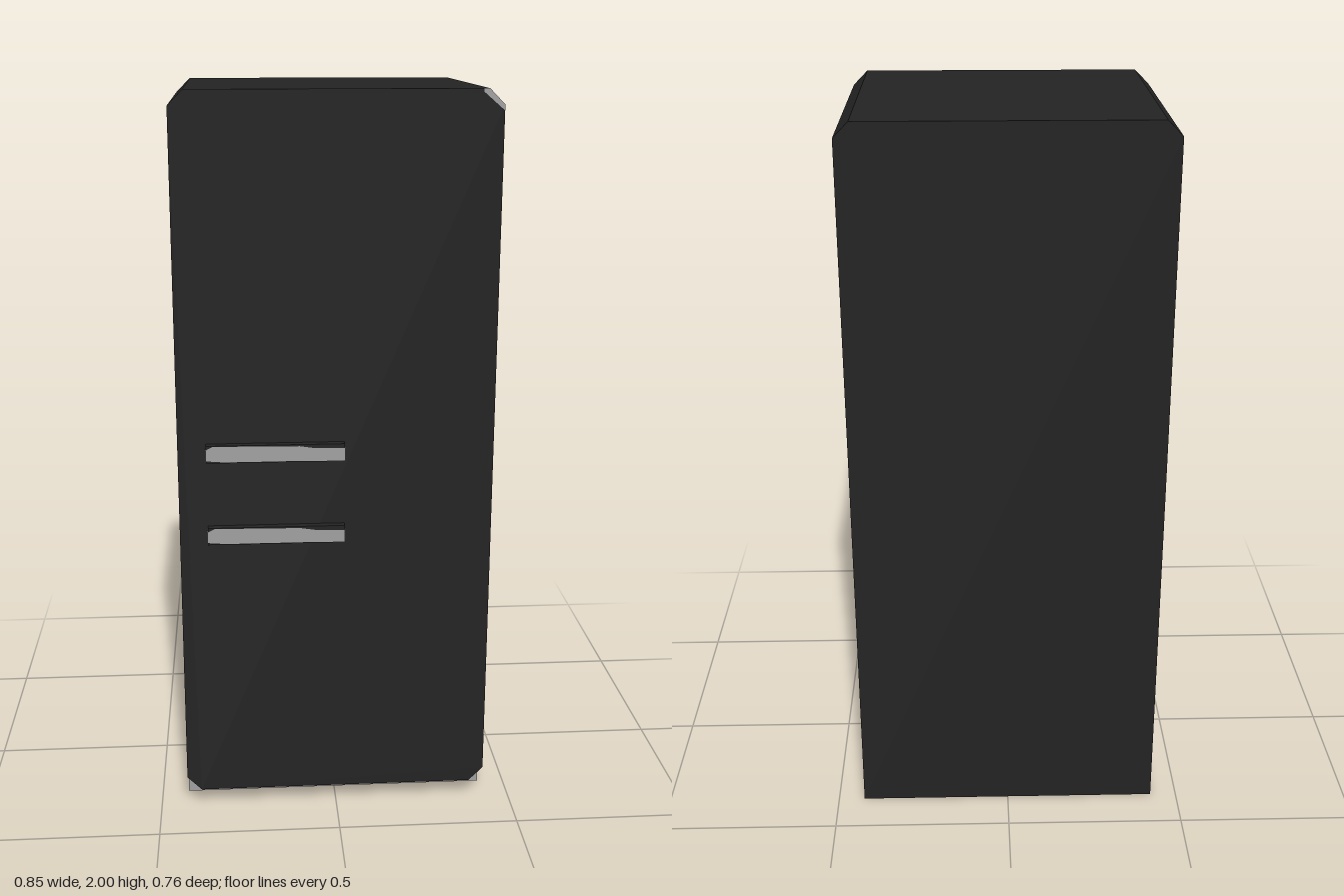
import * as THREE from 'three';

const W = 0.425, H = 2, C = 0.04;                // half width, height, corner bevel
const FRONT = 0.355, BACK = -0.378, KICK = 0.275; // depths of door, back and plinth
const LIP = 0.05;                                // lower edge of the door

export function createModel() {
  const model = new THREE.Group();
  model.name = 'refrigerator';

  const dark = new THREE.MeshStandardMaterial({ color: 0x232323, side: THREE.DoubleSide });
  dark.name = 'black enamel';
  const grey = new THREE.MeshStandardMaterial({ color: 0xa0a0a0, side: THREE.DoubleSide });
  grey.name = 'grey metal';

  function add(name, geometry, material, parent = model) {
    const mesh = new THREE.Mesh(geometry, material);
    mesh.name = name;
    parent.add(mesh);
    return mesh;
  }

  // Flat sheet: a fan of triangles around the first point
  function panel(name, points, material = dark) {
    const positions = [];
    for (let i = 1; i < points.length - 1; i++) {
      positions.push(...points[0], ...points[i], ...points[i + 1]);
    }
    const geometry = new THREE.BufferGeometry();
    geometry.setAttribute('position', new THREE.Float32BufferAttribute(positions, 3));
    geometry.computeVertexNormals();
    return add(name, geometry, material);
  }

  // Sheet stretched in depth from z0 to z1 along the edge a-b
  const strip = (name, a, b, z0, z1) =>
    panel(name, [[...a, z1], [...b, z1], [...b, z0], [...a, z0]]);

  // Door face with four bevelled corners
  panel('doorFront', [
    [-W + C, LIP], [W - C, LIP], [W, LIP + C], [W, H - C],
    [W - C, H], [-W + C, H], [-W, H - C], [-W, LIP + C],
  ].map(([x, y]) => [x, y, FRONT]));

  // Back sheet, square at the floor
  panel('backPanel', [
    [W, 0], [-W, 0], [-W, H - C], [-W + C, H], [W - C, H], [W, H - C],
  ].map(([x, y]) => [x, y, BACK]));

  // Top and the underside of the door; the cabinet floor is open
  strip('topPanel', [-W + C, H], [W - C, H], BACK, FRONT);
  strip('doorUnderside', [W - C, LIP], [-W + C, LIP], KICK, FRONT);

  // Notched side walls with their bevels
  for (const s of [1, -1]) {
    const side = s > 0 ? 'left' : 'right';
    const wall = [
      [LIP + C, KICK], [0, KICK], [0, BACK], [H - C, BACK], [H - C, FRONT], [LIP + C, FRONT],
    ].map(([y, z]) => [s * W, y, z]);
    const edge = (name, a, b) => s > 0
      ? strip(side + name, a, b, BACK, FRONT)
      : strip(side + name, b, a, BACK, FRONT);
    panel(side + 'Wall', s > 0 ? wall : [wall[0], ...wall.slice(1).reverse()]);
    edge('TopBevel', [s * (W - C), H], [s * W, H - C]);
    const low = [[s * W, LIP + C], [s * (W - C), LIP]];
    if (s < 0) low.reverse();
    strip(side + 'DoorBevel', low[0], low[1], KICK, FRONT);
  }

  // Recessed plinth under the door
  panel('plinth', [
    [-W, 0, KICK], [W, 0, KICK], [W, LIP + C, KICK], [-W, LIP + C, KICK],
  ], grey);

  // Small grey trim on the upper left corner of the door
  panel('cornerTrim', [
    [W - C - 0.015, H], [W - C - 0.015, H - 0.008], [W, H - C - 0.015],
    [W, H - C], [W - C, H],
  ].map(([x, y]) => [x, y, FRONT + 0.002]), grey);

  // Handle bars: dark core with a tapering grey face and grey ends
  const face = new THREE.Shape([
    [-0.35, -0.015], [-0.3, -0.019], [-0.1, -0.019], [0.022, -0.021], [0.022, 0.014],
    [-0.06, 0.016], [-0.1, 0.022], [-0.2, 0.023], [-0.33, 0.025], [-0.35, 0.015],
  ].map(([x, y]) => new THREE.Vector2(x, y)));
  for (const [name, y] of [['upperHandle', 1.056], ['lowerHandle', 0.825]]) {
    const handle = new THREE.Group();
    handle.name = name;
    handle.position.y = y;
    model.add(handle);
    add('handleCore', new THREE.BoxGeometry(0.37, 0.048, 0.021), dark, handle)
      .position.set(-0.164, 0.002, FRONT + 0.0105);
    add('handleFace', new THREE.ShapeGeometry(face), grey, handle).position.z = 0.378;
    for (const x of [-0.349, 0.021]) {
      add('handleEnd', new THREE.BoxGeometry(0.004, 0.03, 0.014), grey, handle)
        .position.set(x, 0, FRONT + 0.012);
    }
  }
  return model;
}
